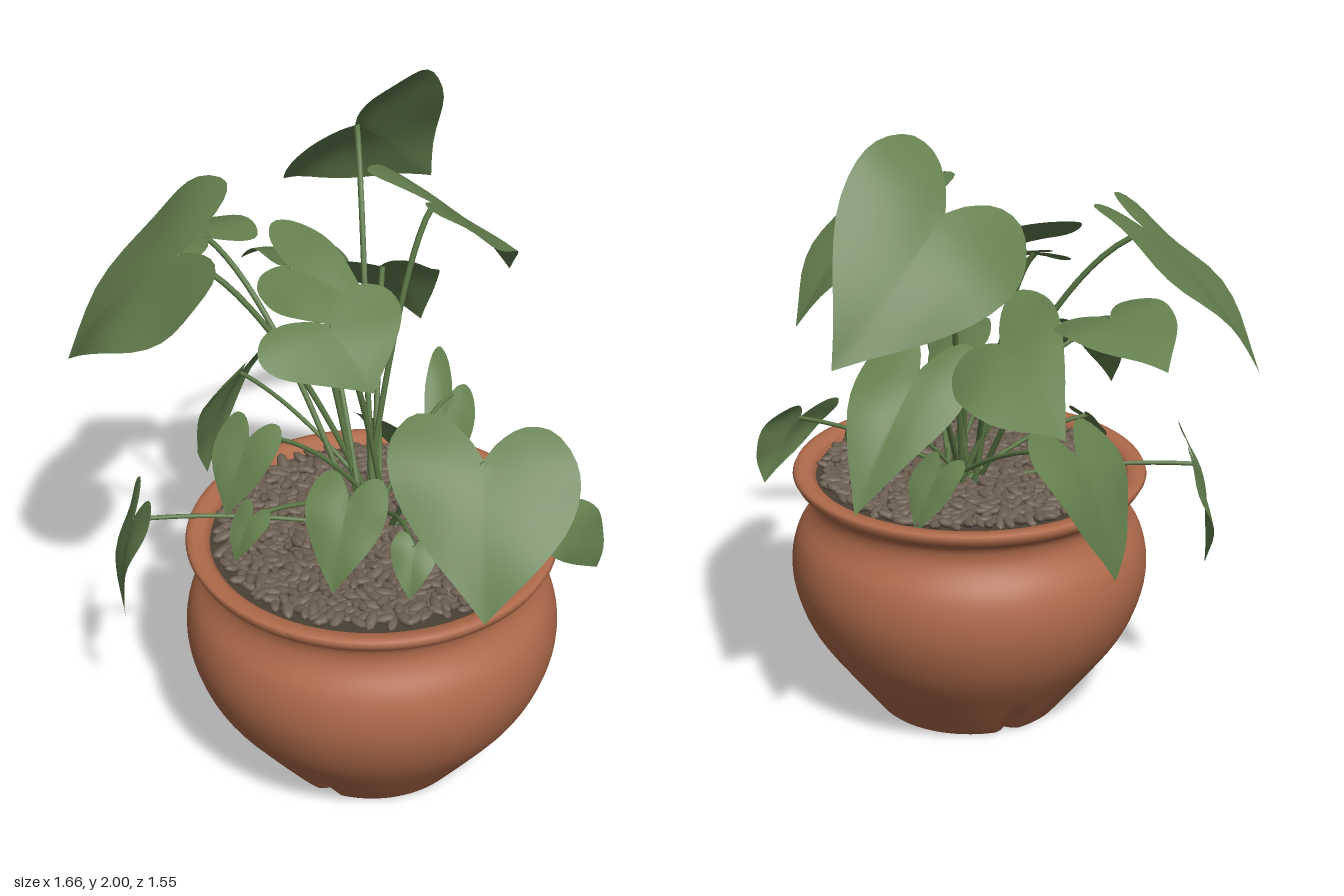
import * as THREE from 'three';
import { mergeGeometries } from 'three/addons/utils/BufferGeometryUtils.js';

const V = (a) => new THREE.Vector3(...a);
const POT = [0.105, 0.215]; // pot centre in x, z

function material(name, color, side = THREE.FrontSide) {
  const m = new THREE.MeshStandardMaterial({ color, side });
  m.name = name;
  return m;
}

function random(seed) {
  return () => {
    seed = (seed * 1664525 + 1013904223) % 4294967296;
    return seed / 4294967296;
  };
}

// Turned clay pot with a rolled rim, recessed foot and three drainage notches
function potGeometry() {
  const P = (x, y) => new THREE.Vector2(x, y);
  const belly = new THREE.SplineCurve([
    P(0.3, 0), P(0.4, 0.13), P(0.5, 0.27), P(0.55, 0.39), P(0.563, 0.49), P(0.545, 0.58),
    P(0.503, 0.65), P(0.489, 0.695), P(0.5, 0.735), P(0.543, 0.765),
  ]).getPoints(40);
  const profile = [P(0, 0.025), P(0.25, 0.025), P(0.275, 0.002), ...belly,
    P(0.554, 0.785), P(0.548, 0.797), P(0.53, 0.8), P(0.5, 0.795), P(0.483, 0.78), P(0.478, 0.74)];
  const g = new THREE.LatheGeometry(profile, 96);
  const pos = g.attributes.position;
  const step = Math.PI * 2 / 3;
  for (let i = 0; i < pos.count; i++) {
    const x = pos.getX(i), y = pos.getY(i), z = pos.getZ(i);
    if (y > 0.14 || Math.hypot(x, z) < 0.28) continue;
    const a = Math.atan2(x, z);
    const off = Math.abs(a - Math.round(a / step) * step);
    const k = 1 - 0.09 * (1 - y / 0.14) * Math.max(0, 1 - off / 0.1);
    pos.setXYZ(i, x * k, y, z * k);
  }
  g.computeVertexNormals();
  return g;
}

// Overlapping oval pebbles scattered over the soil
function pebbleGeometry() {
  const rnd = random(7), stones = [], count = 780;
  for (let i = 0; i < count; i++) {
    const r = 0.458 * Math.sqrt((i + 0.5) / count), a = i * 2.39996;
    const s = 0.8 + rnd() * 0.4;
    const g = new THREE.SphereGeometry(1, 8, 6);
    g.scale(0.032 * s, 0.012 * s, 0.016 * s);
    g.rotateZ((rnd() - 0.5) * 0.7);
    g.rotateY(rnd() * Math.PI * 2);
    g.translate(r * Math.sin(a), 0.782 + rnd() * 0.014, r * Math.cos(a));
    stones.push(g);
  }
  return mergeGeometries(stones);
}

// Right half of the heart outline: across, along (0 = stem joint, 1 = tip)
const HALF = new THREE.SplineCurve([
  [0, 0], [0.1, -0.13], [0.27, -0.245], [0.46, -0.24], [0.6, -0.08], [0.63, 0.12], [0.55, 0.36],
  [0.36, 0.62], [0.15, 0.84], [0, 1],
].map((p) => new THREE.Vector2(...p))).getPoints(22);
const OUTLINE = [...HALF, ...HALF.slice(1, -1).reverse().map((p) => new THREE.Vector2(-p.x, p.y))];

// Maps leaf coordinates to space, from the two basal lobes and the tip
function leafSurface([lobeA, lobeB, tip], phase) {
  const mid = lobeA.clone().lerp(lobeB, 0.5);
  const along = tip.clone().sub(mid).divideScalar(1.24);
  const base = tip.clone().sub(along), side = lobeB.clone().sub(lobeA);
  const n = side.clone().cross(along).normalize();
  if (n.y < 0) n.negate();
  const len = along.length();
  return (v, u) => {
    const w = Math.abs(v);
    const arch = 0.26 * (u + 0.24) * (1 - u) - 0.1 * w ** 3
      + 0.05 * w * Math.sin(u * 7 + phase + (v > 0 ? 1.5 : 0)) + 0.06 * Math.min(w, 0.25);
    return base.clone().addScaledVector(along, u).addScaledVector(side, v).addScaledVector(n, arch * len);
  };
}

// Heart-shaped blade: rings growing from the stem joint to the outline
function leafGeometry(surface) {
  const rings = 6, n = OUTLINE.length, hub = 0.06;
  const pts = [surface(0, hub)], index = [];
  for (let r = 1; r <= rings; r++)
    for (const p of OUTLINE) pts.push(surface(p.x * r / rings, hub + (p.y - hub) * r / rings));
  for (let i = 0; i < n; i++) {
    const j = (i + 1) % n;
    index.push(0, 1 + i, 1 + j);
    for (let r = 0; r < rings - 1; r++) {
      const a = 1 + r * n + i, b = 1 + r * n + j;
      index.push(a, a + n, b, b, a + n, b + n);
    }
  }
  const g = new THREE.BufferGeometry().setFromPoints(pts);
  g.setIndex(index);
  g.computeVertexNormals();
  return g;
}

// Large leaves: lobe, lobe, tip
const LARGE = [
  [[-0.36, 1.73, -0.15], [-0.05, 2, -0.3], [-0.16, 1.465, -0.77]],
  [[-0.06, 1.82, -0.07], [0.26, 1.78, 0.07], [0.26, 1.4, -0.42]],
  [[-0.25, 1.38, -0.23], [-0.01, 1.42, -0.3], [-0.14, 1, -0.66]],
  [[-0.22, 1.5, 0.01], [-0.24, 1.35, -0.35], [-0.64, 1.25, -0.37]],
  [[-0.45, 1.48, -0.15], [-0.55, 1.5, 0.12], [-0.82, 1.42, -0.15]],
  [[-0.44, 1.76, 0.04], [-0.23, 1.66, 0.51], [-0.8, 1.25, 0.4]],
  [[-0.56, 0.92, 0.42], [-0.42, 0.95, 0.6], [-0.545, 0.5, 0.58]],
  [[-0.4, 1.15, -0.2], [-0.42, 1.12, 0.08], [-0.58, 0.67, 0]],
  [[0.34, 1.42, 0.48], [0.73, 1.39, 0.35], [0.69, 1, 0.74]],
  [[-0.1, 1.55, 0.5], [0.06, 1.6, 0.17], [0.2, 1.4, 0.4]],
  [[-0.32, 1.63, 0], [-0.24, 1.53, 0.25], [0.08, 1.45, 0.12]],
  [[0.6, 0.92, 0.18], [0.65, 0.93, -0.02], [0.72, 0.67, -0.06]],
  [[0.1, 1.18, -0.26], [0.22, 1.02, -0.26], [0.17, 0.85, -0.02]],
].map((leaf) => leaf.map(V));

// Small leaves, all hanging at one pitch: x, y, z between the lobes, heading in degrees, length
const SMALL = [
  [-0.05, 1.38, 0.02, 170, 0.28],
  [-0.14, 1.25, 0.45, -7, 0.29],
  [0.135, 1.1, 0.39, 7, 0.34],
  [0.33, 0.96, 0.39, 15, 0.19],
  [-0.14, 0.96, 0.46, -17, 0.18],
  [-0.045, 0.965, -0.1, 175, 0.25],
].map(([x, y, z, heading, size]) => {
  const h = THREE.MathUtils.degToRad(heading), mid = V([x, y, z]);
  const side = V([Math.cos(h), 0, -Math.sin(h)]).multiplyScalar(0.28 * size);
  const drop = V([0.57 * Math.sin(h), -0.82, 0.57 * Math.cos(h)]).multiplyScalar(size);
  return [mid.clone().sub(side), mid.clone().add(side), mid.clone().add(drop)];
});

export function createModel() {
  const clay = material('terracotta', 0xb06b4b, THREE.DoubleSide);
  const stone = material('pebble brown', 0x6c5f50);
  const earth = material('soil brown', 0x4a4035);
  const green = material('leaf green', 0x647f4e, THREE.DoubleSide);
  const stalk = material('stem green', 0x5c7846);

  const model = new THREE.Group();
  model.name = 'pottedPlant';
  const add = (name, geometry, mat, parent) => {
    const mesh = new THREE.Mesh(geometry, mat);
    mesh.name = name;
    parent.add(mesh);
  };

  // Pot, soil and pebbles share one centre
  const planter = new THREE.Group();
  planter.name = 'planter';
  planter.position.set(POT[0], 0, POT[1]);
  model.add(planter);
  add('pot', potGeometry(), clay, planter);
  add('soil', new THREE.CircleGeometry(0.482, 64).rotateX(-Math.PI / 2).translate(0, 0.772, 0), earth, planter);
  add('pebbles', pebbleGeometry(), stone, planter);

  // Leaves, each on an arching stem from the middle of the pot
  const rnd = random(21);
  [...LARGE, ...SMALL].forEach((corners, i) => {
    const surface = leafSurface(corners, i * 1.7);
    const plant = new THREE.Group();
    plant.name = 'leafAndStem' + (i + 1);
    model.add(plant);
    add('leaf', leafGeometry(surface), green, plant);

    const joint = surface(0, 0.03);
    const root = V([0.08 + (rnd() - 0.5) * 0.13, 0.77, 0.14 + (rnd() - 0.5) * 0.13]);
    const rise = joint.clone().lerp(root, 0.45);
    rise.y = joint.y - (joint.y - 0.77) * 0.12 + 0.02;
    const path = new THREE.QuadraticBezierCurve3(root, rise, joint);
    add('stem', new THREE.TubeGeometry(path, 20, joint.y > 1.3 ? 0.009 : 0.007, 7), stalk, plant);
  });
  return model;
}
